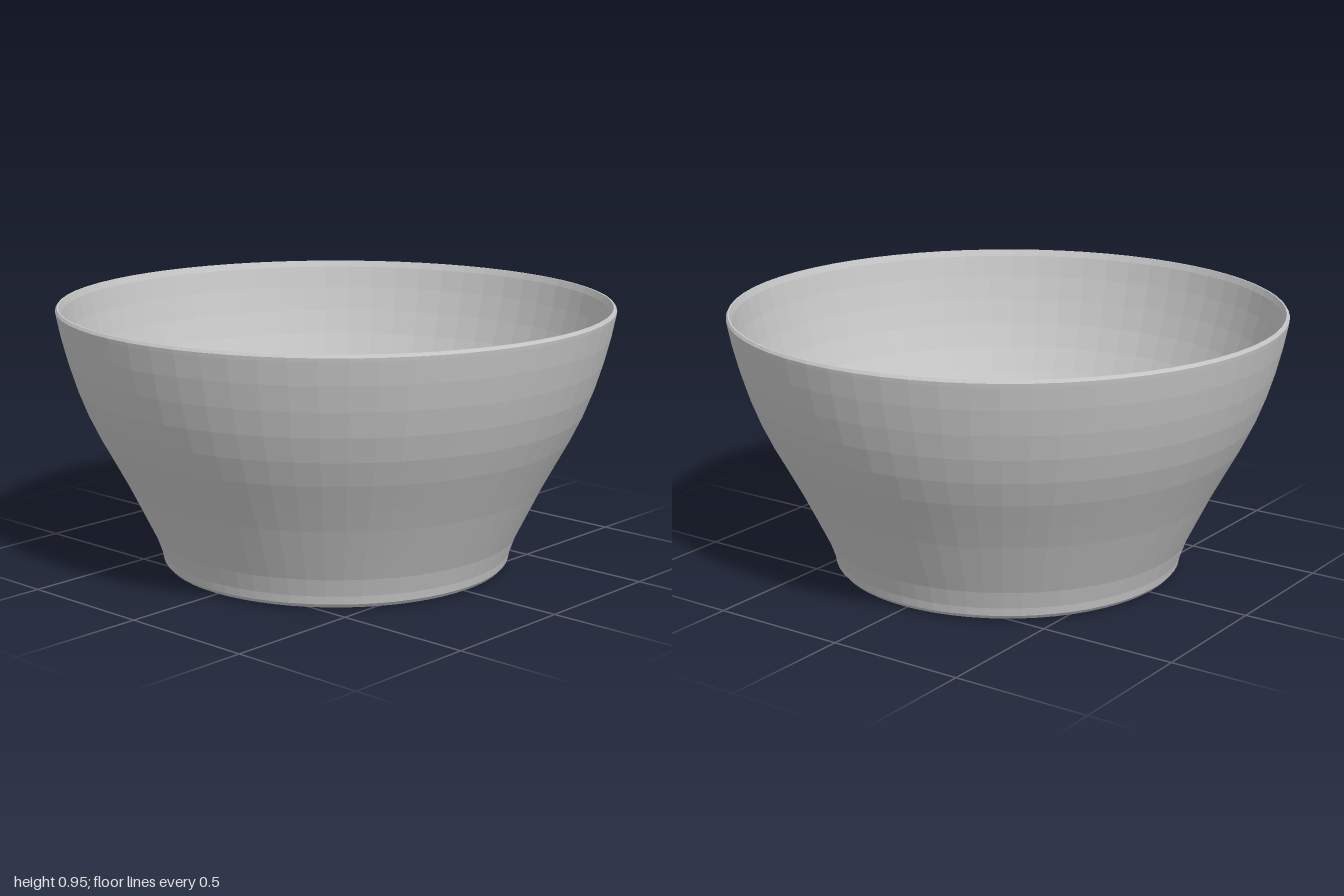
import * as THREE from 'three';

export function createModel() {
  const bowl = new THREE.Group();
  bowl.name = 'bowl';
  const clay = new THREE.MeshStandardMaterial({ color: 0xc8c8c8, flatShading: true });
  clay.name = 'greyClay';

  // Each part is a band of one revolved profile, listed as [radius, height]
  const revolve = (name, profile) => {
    const points = profile.map(([r, y]) => new THREE.Vector2(r, y));
    const mesh = new THREE.Mesh(new THREE.LatheGeometry(points, 64), clay);
    mesh.name = name;
    bowl.add(mesh);
  };

  // Outer curve, from just above the foot to just below the rim
  const wall = [
    [0.661, 0.115], [0.707, 0.21], [0.756, 0.31], [0.804, 0.4], [0.853, 0.49],
    [0.896, 0.58], [0.931, 0.67], [0.959, 0.76], [0.982, 0.85], [0.998, 0.93],
  ];
  // Inner curve runs parallel to it, ending at the ring around the floor
  const thickness = 0.019;
  const inside = wall.slice(2).reverse().map(([r, y]) => [r - thickness, y]);
  inside.push([0.694, 0.232]);

  // Slightly dished underside with a rounded edge
  revolve('foot', [[0, 0.01], [0.6, 0], [0.62, 0.006], [0.632, 0.02], [0.638, 0.05], wall[0]]);
  revolve('outerWall', wall);
  // Bevelled lip
  revolve('rim', [wall.at(-1), [1, 0.943], [0.994, 0.953], [0.988, 0.953], inside[0]]);
  revolve('innerWall', inside);
  // Gently sloping ring leading down to the flat floor
  revolve('floor', [inside.at(-1), [0.622, 0.203], [0, 0.203]]);
  return bowl;
}
